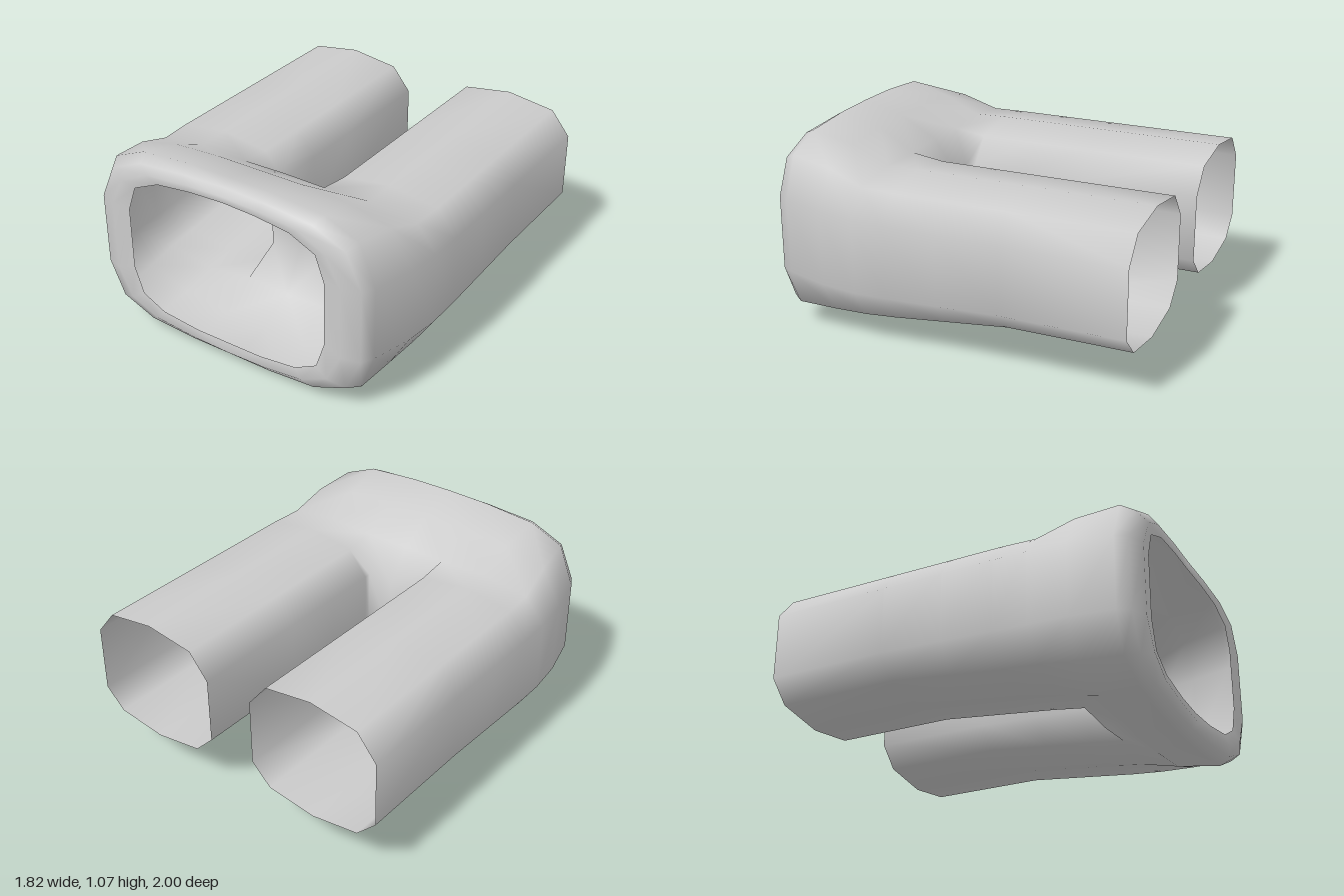
import * as THREE from 'three';
import { mergeVertices } from 'three/addons/utils/BufferGeometryUtils.js';

// Half cross-sections (x >= 0), from top centre round the outer side to bottom centre
const collar = [
  // inner rim of the mouth
  { z: 0.985, p: [[0, 0.96], [0.2, 0.955], [0.4, 0.935], [0.55, 0.87], [0.6, 0.73], [0.6, 0.38], [0.55, 0.23], [0.42, 0.16], [0.2, 0.13], [0, 0.125]] },
  // rolled lip
  { z: 0.995, p: [[0, 1], [0.22, 0.995], [0.46, 0.975], [0.62, 0.9], [0.7, 0.74], [0.7, 0.35], [0.62, 0.19], [0.46, 0.11], [0.22, 0.08], [0, 0.07]] },
  { z: 0.965, p: [[0, 1.035], [0.24, 1.03], [0.52, 1.01], [0.71, 0.93], [0.795, 0.74], [0.795, 0.34], [0.71, 0.15], [0.52, 0.07], [0.24, 0.045], [0, 0.04]] },
  { z: 0.9, p: [[0, 1.067], [0.25, 1.063], [0.55, 1.04], [0.74, 0.96], [0.83, 0.74], [0.83, 0.34], [0.76, 0.14], [0.55, 0.04], [0.25, 0.007], [0, 0]] },
  // body narrowing towards the fork
  { z: 0.67, p: [[0, 1], [0.25, 1], [0.53, 0.985], [0.77, 0.93], [0.885, 0.735], [0.885, 0.33], [0.78, 0.15], [0.53, 0.07], [0.25, 0.045], [0, 0.04]] },
  { z: 0.47, p: [[0, 0.89], [0.25, 0.885], [0.525, 0.895], [0.79, 0.86], [0.905, 0.725], [0.905, 0.325], [0.8, 0.165], [0.525, 0.115], [0.25, 0.155], [0, 0.14]] },
].map(({ z, p }) => p.map(([x, y], i) => {
  // the lip bows back slightly at its middle
  const bow = z > 0.95 ? 0.015 * Math.max(0, 1 - x / 0.6) : 0;
  const front = z > 0.99 && (i > 2 && i < 7) ? 0.005 : 0;
  return [x, y, z - bow + front];
}));

// Ten-sided tube section; its underside drops towards the front
function tubeRing(z) {
  const d = Math.max(0, (z + 0.34) / 0.81) * 0.09;
  return [[0.25, 0.86], [0.525, 0.9], [0.8, 0.86], [0.91, 0.725], [0.91, 0.36 - d * 0.4],
    [0.8, 0.25 - d], [0.525, 0.21 - d], [0.25, 0.25 - d], [0.14, 0.36 - d * 0.4], [0.14, 0.725]]
    .map(([x, y]) => [x, y, z]);
}

// Joins a grid of points into triangles, once as given and once mirrored in x
function addPatch(out, rows, closed = false) {
  const n = rows[0].length;
  for (let r = 0; r < rows.length - 1; r++) {
    for (let c = 0; c < (closed ? n : n - 1); c++) {
      const k = (c + 1) % n;
      const a = rows[r][c], b = rows[r][k], e = rows[r + 1][k], f = rows[r + 1][c];
      for (const tri of [[a, b, e], [a, e, f]]) {
        for (const v of tri) out.push(...v);
        for (const v of [tri[0], tri[2], tri[1]]) out.push(v[0] === 0 ? 0 : -v[0], v[1], v[2]);
      }
    }
  }
}

export function createModel() {
  const pos = [];
  const last = collar[collar.length - 1];
  const tubes = [0.29, 0, -0.34, -1].map(tubeRing);
  const start = tubes[0];

  // Flared mouth and shared body
  addPatch(pos, collar);
  // Shoulder running from the body into each tube
  addPatch(pos, [last.slice(1, 9), start.slice(0, 8)]);
  // Twin tubes, open at the back
  addPatch(pos, tubes, true);
  // Column in the crotch between the tubes
  addPatch(pos, [
    [start[0], start[9], start[8], start[7]],
    [last[1], [0.165, 0.7, 0.36], [0.165, 0.35, 0.36], last[8]],
    [last[0], [0, 0.7, 0.34], [0, 0.35, 0.34], last[9]],
  ]);

  let geometry = new THREE.BufferGeometry();
  geometry.setAttribute('position', new THREE.Float32BufferAttribute(pos, 3));
  geometry = mergeVertices(geometry, 1e-4);
  geometry.computeVertexNormals();

  const mesh = new THREE.Mesh(geometry, new THREE.MeshStandardMaterial({ color: 0xcccccc, side: THREE.DoubleSide }));
  mesh.name = 'forkedPipe';
  const group = new THREE.Group();
  group.name = 'twinTubeManifold';
  group.add(mesh);
  return group;
}
